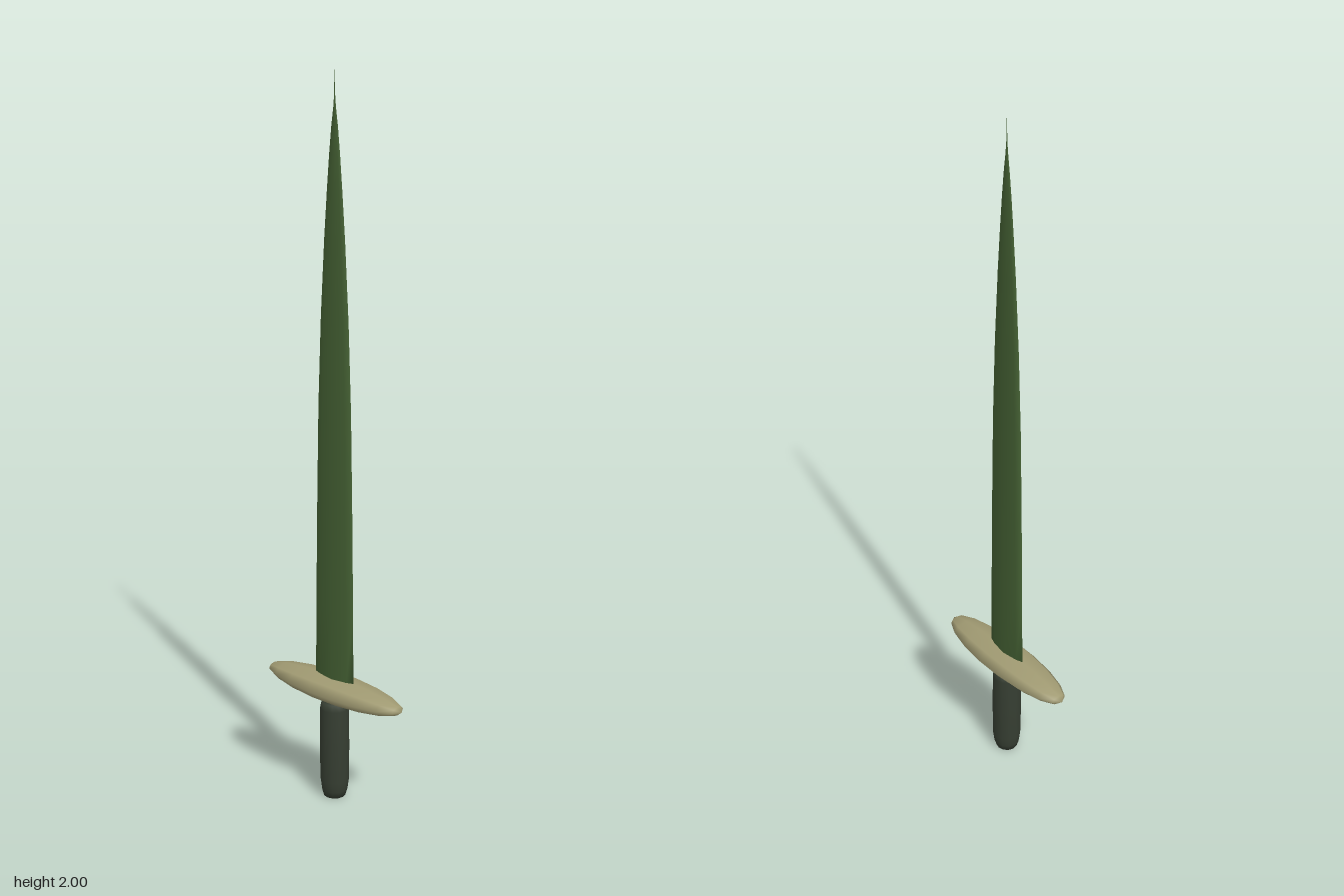
import * as THREE from 'three';

const mat = (name, color) => {
  const m = new THREE.MeshStandardMaterial({ color });
  m.name = name;
  return m;
};

// Lens-shaped cross-sections joined upwards into a tapering blade
function bladeGeometry() {
  // [y, half width, half thickness]
  const rings = [
    [0.33, 0.067, 0.0135], [0.56, 0.065, 0.013], [0.85, 0.061, 0.012], [1.12, 0.056, 0.011],
    [1.36, 0.047, 0.009], [1.57, 0.035, 0.0075], [1.70, 0.0255, 0.006], [1.79, 0.018, 0.005],
    [1.86, 0.011, 0.004], [1.91, 0.004, 0.003], [1.94, 0.0015, 0.0015], [2.0, 0.0006, 0.0006],
  ];
  const section = [[1, 0], [0.68, 0.55], [0, 1], [-0.68, 0.55], [-1, 0], [-0.68, -0.55], [0, -1], [0.68, -0.55]];
  const n = section.length;
  const pos = [];
  const idx = [];
  for (const [y, w, t] of rings) for (const [sx, sz] of section) pos.push(sx * w, y, sz * t);
  for (let r = 0; r < rings.length - 1; r++) {
    for (let i = 0; i < n; i++) {
      const a = r * n + i, b = r * n + (i + 1) % n;
      idx.push(a, a + n, b, b, a + n, b + n);
    }
  }
  // End caps
  const top = (rings.length - 1) * n;
  for (let i = 1; i < n - 1; i++) idx.push(0, i, i + 1, top, top + i + 1, top + i);
  const g = new THREE.BufferGeometry();
  g.setAttribute('position', new THREE.Float32BufferAttribute(pos, 3));
  g.setIndex(idx);
  g.computeVertexNormals();
  return g;
}

export function createModel() {
  const model = new THREE.Group();
  model.name = 'sword';
  const add = (name, geometry, material) => {
    const mesh = new THREE.Mesh(geometry, material);
    mesh.name = name;
    model.add(mesh);
    return mesh;
  };

  add('blade', bladeGeometry(), mat('blade green', 0x446033));

  // Guard: flattened spindle lying along x
  const guard = new THREE.SphereGeometry(1, 8, 9);
  guard.rotateZ(Math.PI / 2);
  guard.scale(0.235, 0.034, 0.066);
  guard.computeVertexNormals();
  const g = new THREE.SphereGeometry(1, 8, 9).rotateZ(Math.PI / 2).scale(0.235, 0.034, 0.066);
  add('guard', g, mat('guard tan', 0xa09a72)).position.y = 0.322;

  // Grip: rounded cylinder with bevelled ends
  const profile = [[0, 0], [0.03, 0], [0.036, 0.02], [0.04, 0.05], [0.041, 0.15], [0.04, 0.265], [0.035, 0.284], [0, 0.292]];
  add('grip', new THREE.LatheGeometry(profile.map(([x, y]) => new THREE.Vector2(x, y)), 12), mat('grip dark green', 0x363e32));

  return model;
}
